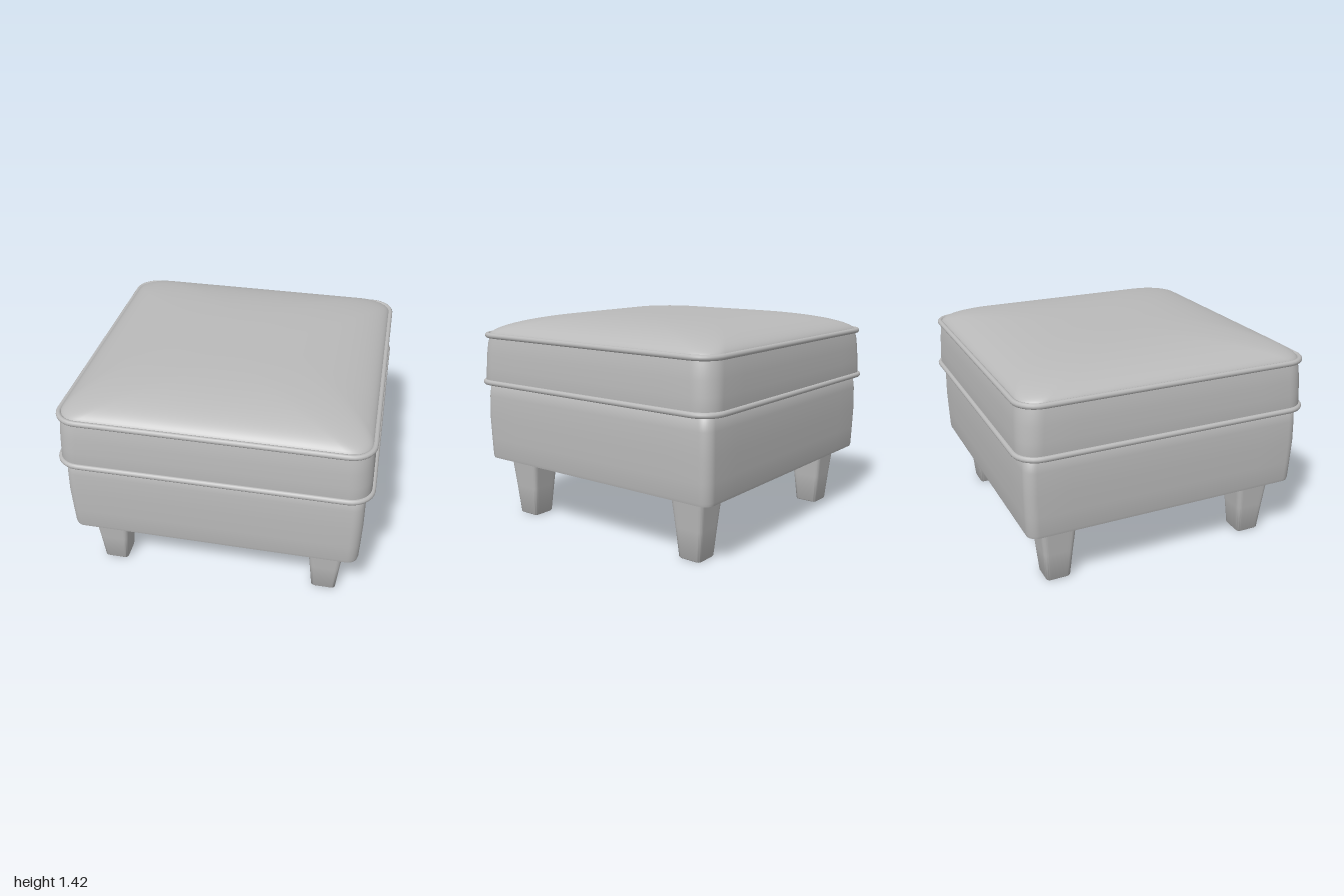
import * as THREE from 'three';
import { toCreasedNormals } from 'three/addons/utils/BufferGeometryUtils.js';

const ARC = 10; // segments per rounded corner
const SIDE = 8; // segments per straight side

// Points of a rounded square in the xz plane
function roundedSquare(half, radius) {
  const pts = [];
  const c = half - radius;
  for (let k = 0; k < 4; k++) {
    const a0 = k * Math.PI / 2;
    const cx = c * Math.sign(Math.cos(a0 + Math.PI / 4));
    const cz = c * Math.sign(Math.sin(a0 + Math.PI / 4));
    for (let i = 0; i <= ARC; i++) {
      const a = a0 + (i / ARC) * Math.PI / 2;
      pts.push([cx + radius * Math.cos(a), cz + radius * Math.sin(a)]);
    }
    // Straight run towards the next corner
    const [x, z] = pts[pts.length - 1];
    const dx = -Math.sin(a0 + Math.PI / 2 - Math.PI / 2 + Math.PI / 2);
    const dz = Math.cos(a0 + Math.PI / 2);
    for (let i = 1; i < SIDE; i++) {
      const d = (i / SIDE) * 2 * c;
      pts.push([x + dx * d, z + dz * d]);
    }
  }
  return pts;
}

// Skin through rounded squares [y, half, radius], bottom to top, with closed ends
function loft(sections, crease = 0.7) {
  const n = 4 * (ARC + SIDE);
  const pos = [];
  const index = [];
  sections.forEach(([y, half, radius]) => {
    roundedSquare(half, radius).forEach(([x, z]) => pos.push(x, y, z));
  });
  for (let j = 0; j < sections.length - 1; j++) {
    for (let i = 0; i < n; i++) {
      const a = j * n + i, b = j * n + (i + 1) % n;
      index.push(a, a + n, b, b, a + n, b + n);
    }
  }
  const last = sections.length - 1;
  [0, last].forEach((j) => {
    const centre = pos.length / 3;
    pos.push(0, sections[j][0], 0);
    for (let i = 0; i < n; i++) {
      const a = j * n + i, b = j * n + (i + 1) % n;
      if (j === 0) index.push(centre, a, b);
      else index.push(centre, b, a);
    }
  });
  const geo = new THREE.BufferGeometry();
  geo.setAttribute('position', new THREE.Float32BufferAttribute(pos, 3));
  geo.setIndex(index);
  return toCreasedNormals(geo, crease);
}

// Round cord following a rounded square
function cord(y, half, radius, thickness) {
  const pts = roundedSquare(half, radius).map(([x, z]) => new THREE.Vector3(x, y, z));
  const curve = new THREE.CatmullRomCurve3(pts, true, 'centripetal');
  return new THREE.TubeGeometry(curve, 240, thickness, 10, true);
}

export function createModel() {
  const group = new THREE.Group();
  const upholstery = new THREE.MeshStandardMaterial({ color: 0xbababa });
  upholstery.name = 'grey upholstery';

  const add = (name, geo, x = 0, z = 0) => {
    const mesh = new THREE.Mesh(geo, upholstery);
    mesh.name = name;
    mesh.position.set(x, 0, z);
    group.add(mesh);
  };

  // Upholstered box base, slightly bulging
  add('base', loft([
    [0.405, 0.925, 0.06], [0.41, 0.937, 0.065], [0.43, 0.942, 0.07], [0.55, 0.946, 0.07],
    [0.70, 0.95, 0.07], [0.85, 0.947, 0.07], [0.92, 0.94, 0.07], [0.95, 0.92, 0.07],
  ]));

  // Cushion side band
  add('cushionBand', loft([
    [0.945, 0.975, 0.13], [0.97, 0.978, 0.13], [1.05, 0.976, 0.135],
    [1.15, 0.972, 0.14], [1.22, 0.965, 0.14], [1.27, 0.955, 0.14],
  ]));

  // Domed cushion top: rings turn rounder towards the middle
  const dome = [];
  const rings = 28;
  for (let i = 0; i < rings; i++) {
    const s = Math.cos((i / rings) * Math.PI / 2);
    const half = 0.96 * s;
    const y = 1.27 + 0.15 * Math.pow(1 - Math.pow(s, 3.2), 0.55);
    dome.push([y, half, half * (0.15 + 0.8 * (1 - s))]);
  }
  add('cushionTop', loft(dome, 1.2));

  // Piping along both seams
  add('lowerPiping', cord(0.952, 0.982, 0.14, 0.018));
  add('upperPiping', cord(1.272, 0.966, 0.14, 0.018));

  // Tapered square legs with softened edges
  const leg = loft([
    [0, 0.076, 0.02], [0.008, 0.082, 0.024], [0.2, 0.1, 0.03], [0.42, 0.122, 0.035],
  ]);
  for (const [xName, x] of [['Left', 0.73], ['Right', -0.73]]) {
    for (const [zName, z] of [['front', 0.71], ['back', -0.71]]) {
      add(`${zName}${xName}Leg`, leg, x, z);
    }
  }

  return group;
}
